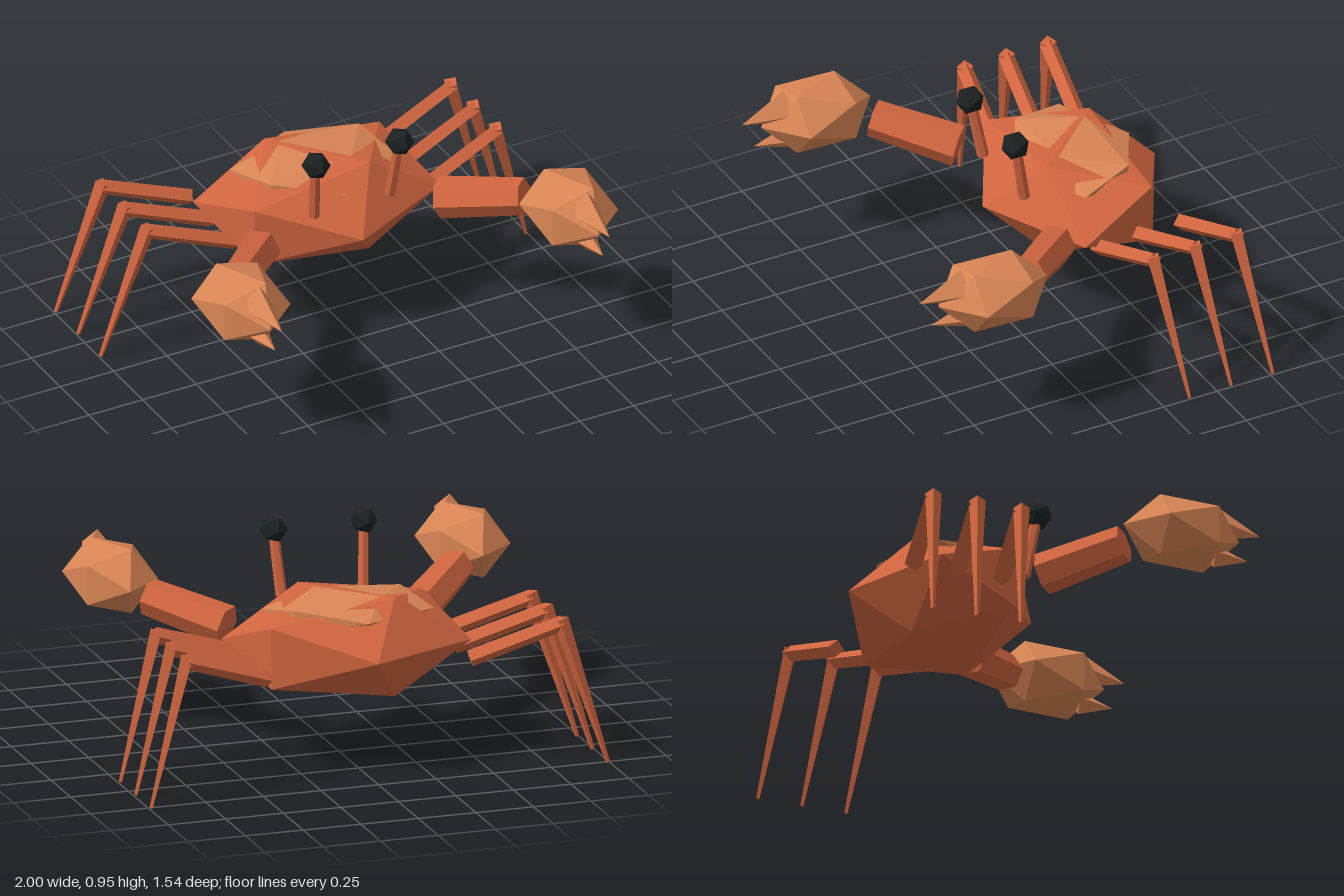
import * as THREE from 'three';
import { ConvexGeometry } from 'three/addons/geometries/ConvexGeometry.js';

const paint = (name, color) => {
  const m = new THREE.MeshStandardMaterial({ color });
  m.name = name;
  return m;
};
const V = (x, y, z) => new THREE.Vector3(x, y, z);

export function createModel() {
  const crab = new THREE.Group();
  crab.name = 'crab';
  const red = paint('crab red', 0xd0653f);
  const tan = paint('claw tan', 0xd98555);
  const black = paint('eye black', 0x1b2021);

  const add = (parent, name, geometry, material) => {
    const mesh = new THREE.Mesh(geometry, material);
    mesh.name = name;
    parent.add(mesh);
    return mesh;
  };

  // Icosahedron with its poles along z, stretched to radii rx, ry, rz
  const gem = (parent, name, material, c, rx, ry, rz, tilt = 0) => {
    const pts = [V(0, 0, rz), V(0, 0, -rz)];
    for (let i = 0; i < 5; i++) {
      const a = (i / 5) * Math.PI * 2;
      const p = V(0.8944 * Math.cos(a) * rx, 0.8944 * Math.sin(a) * ry, 0.4472 * rz);
      pts.push(p, p.clone().negate());
    }
    const geometry = new ConvexGeometry(pts);
    geometry.rotateX(tilt).translate(...c);
    return add(parent, name, geometry, material);
  };

  // Flat-sided tapered bar from a to b
  const bar = (parent, name, a, b, ra, rb, sides, roll = 0) => {
    const from = V(...a), to = V(...b);
    let g = new THREE.CylinderGeometry(rb, ra, from.distanceTo(to), sides);
    g.rotateY(roll).rotateX(Math.PI / 2);
    g = g.toNonIndexed();
    g.computeVertexNormals();
    const mesh = add(parent, name, g, red);
    mesh.position.copy(from).lerp(to, 0.5);
    mesh.lookAt(to);
    return mesh;
  };

  // Body and the lighter shell breaking through its top
  gem(crab, 'body', red, [0, 0.51, -0.347], 0.537, 0.247, 0.402, 0.015);
  gem(crab, 'shell', tan, [0, 0.647, -0.363], 0.373, 0.084, 0.265, 0.025);

  for (const s of [1, -1]) {
    const side = s > 0 ? 'left' : 'right';

    // Eye on a stalk
    const eye = new THREE.Group();
    eye.name = side + 'EyeGroup';
    crab.add(eye);
    bar(eye, side + 'EyeStalk', [s * 0.177, 0.625, -0.043], [s * 0.195, 0.88, 0.002], 0.025, 0.022, 6);
    gem(eye, side + 'Eye', black, [s * 0.195, 0.9, 0.008], 0.06, 0.06, 0.063);

    // Arm
    bar(crab, side + 'Arm', [s * 0.42, 0.525, -0.06], [s * 0.67, 0.6, 0.205], 0.088, 0.078, 6, Math.PI / 6);

    // Claw with an upper and a lower pincer
    const claw = new THREE.Group();
    claw.name = side + 'ClawGroup';
    crab.add(claw);
    const cx = s * 0.765;
    gem(claw, side + 'Claw', tan, [cx - 0.003, 0.64, 0.418], 0.19, 0.16, 0.255);
    const upper = [V(0, 0.793, 0.57), V(0.07, 0.7, 0.55), V(-0.07, 0.7, 0.55), V(0, 0.655, 0.65), V(0, 0.683, 0.765)];
    const lower = [V(0, 0.61, 0.58), V(0.05, 0.565, 0.55), V(-0.05, 0.565, 0.55), V(0, 0.512, 0.56), V(0, 0.562, 0.71)];
    add(claw, side + 'UpperPincer', new ConvexGeometry(upper), tan).position.x = cx;
    add(claw, side + 'LowerPincer', new ConvexGeometry(lower), tan).position.x = cx;

    // Three walking legs
    for (let i = 0; i < 3; i++) {
      const z = -0.245 - i * 0.194;
      const leg = new THREE.Group();
      leg.name = side + 'Leg' + (i + 1);
      crab.add(leg);
      bar(leg, 'upperLeg', [s * 0.437, 0.465, z], [s * 0.82, 0.597, z - 0.06], 0.037, 0.034, 4);
      bar(leg, 'lowerLeg', [s * 0.81, 0.615, z - 0.057], [s * 0.992, 0.003, z - 0.13], 0.034, 0.009, 4);
    }
  }
  return crab;
}
